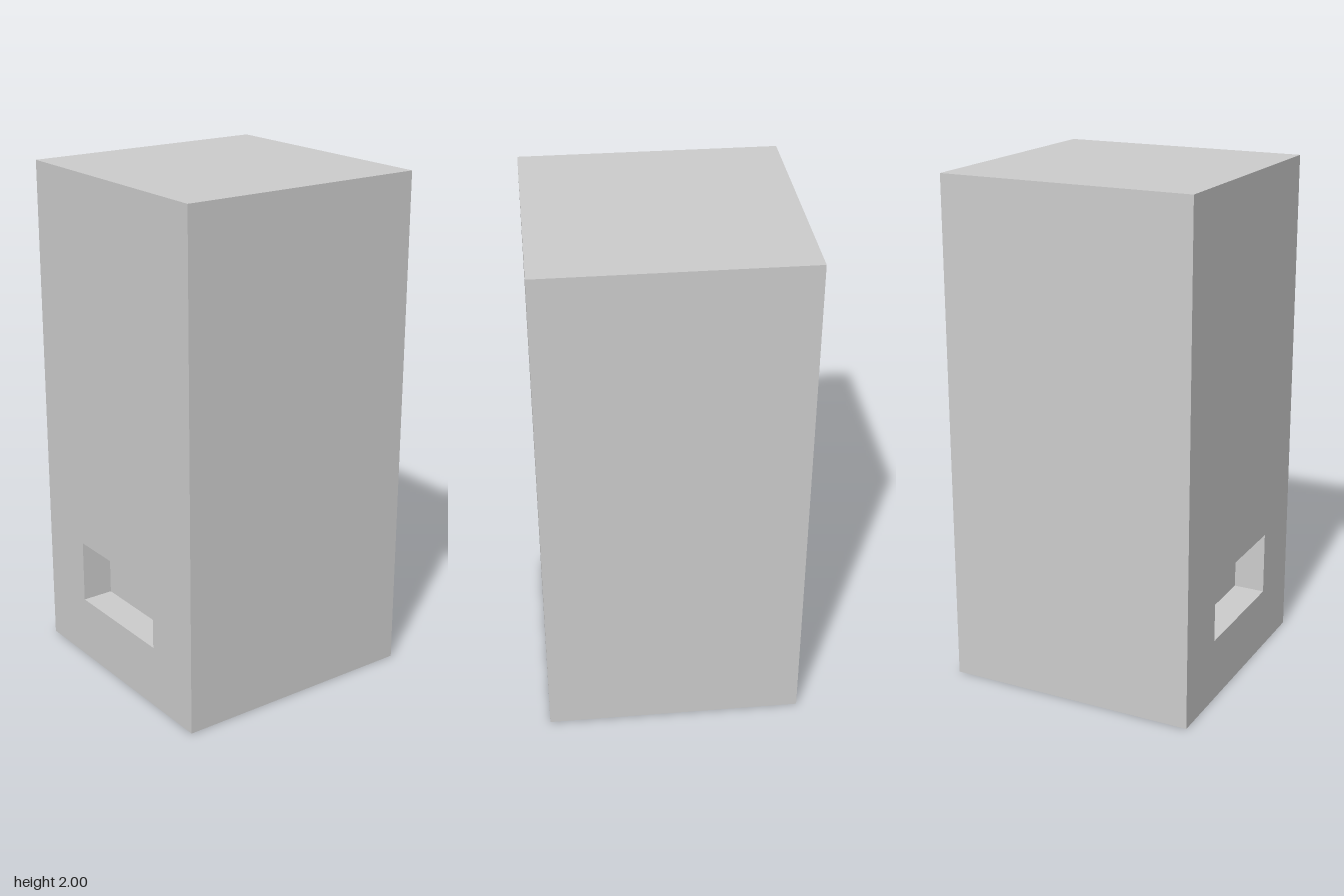
import * as THREE from 'three';

const WIDTH = 1, HEIGHT = 2, DEPTH = 1;
const SLOT = { width: 0.5, height: 0.25, depth: 0.125, bottom: 0.25 };

// Box with its +z side left open; inward turns the faces to the inside
function openBox(width, height, depth, inward = false) {
  const box = new THREE.BoxGeometry(width, height, depth);
  const index = Array.from(box.index.array);
  index.splice(24, 6); // the +z face
  if (inward) index.reverse();
  box.setIndex(index);
  box.clearGroups();
  const geometry = box.toNonIndexed();
  geometry.computeVertexNormals();
  return geometry;
}

function rectangle(path, x, y, width, height) {
  path.moveTo(x, y);
  path.lineTo(x + width, y);
  path.lineTo(x + width, y + height);
  path.lineTo(x, y + height);
  path.closePath();
  return path;
}

export function createModel() {
  const group = new THREE.Group();
  group.name = 'cabinet';
  const material = new THREE.MeshStandardMaterial({ color: 0xcccccc });

  const add = (name, geometry, y, z) => {
    const mesh = new THREE.Mesh(geometry, material);
    mesh.name = name;
    mesh.position.set(0, y, z);
    group.add(mesh);
  };

  // Sides, back, top and bottom
  add('body', openBox(WIDTH, HEIGHT, DEPTH), HEIGHT / 2, 0);

  // Front with the slot opening
  const front = rectangle(new THREE.Shape(), -WIDTH / 2, 0, WIDTH, HEIGHT);
  front.holes.push(rectangle(new THREE.Path(), -SLOT.width / 2, SLOT.bottom, SLOT.width, SLOT.height));
  add('frontPanel', new THREE.ShapeGeometry(front), 0, DEPTH / 2);

  // Walls and back of the shallow slot
  add('slotRecess', openBox(SLOT.width, SLOT.height, SLOT.depth, true),
    SLOT.bottom + SLOT.height / 2, DEPTH / 2 - SLOT.depth / 2);

  return group;
}
